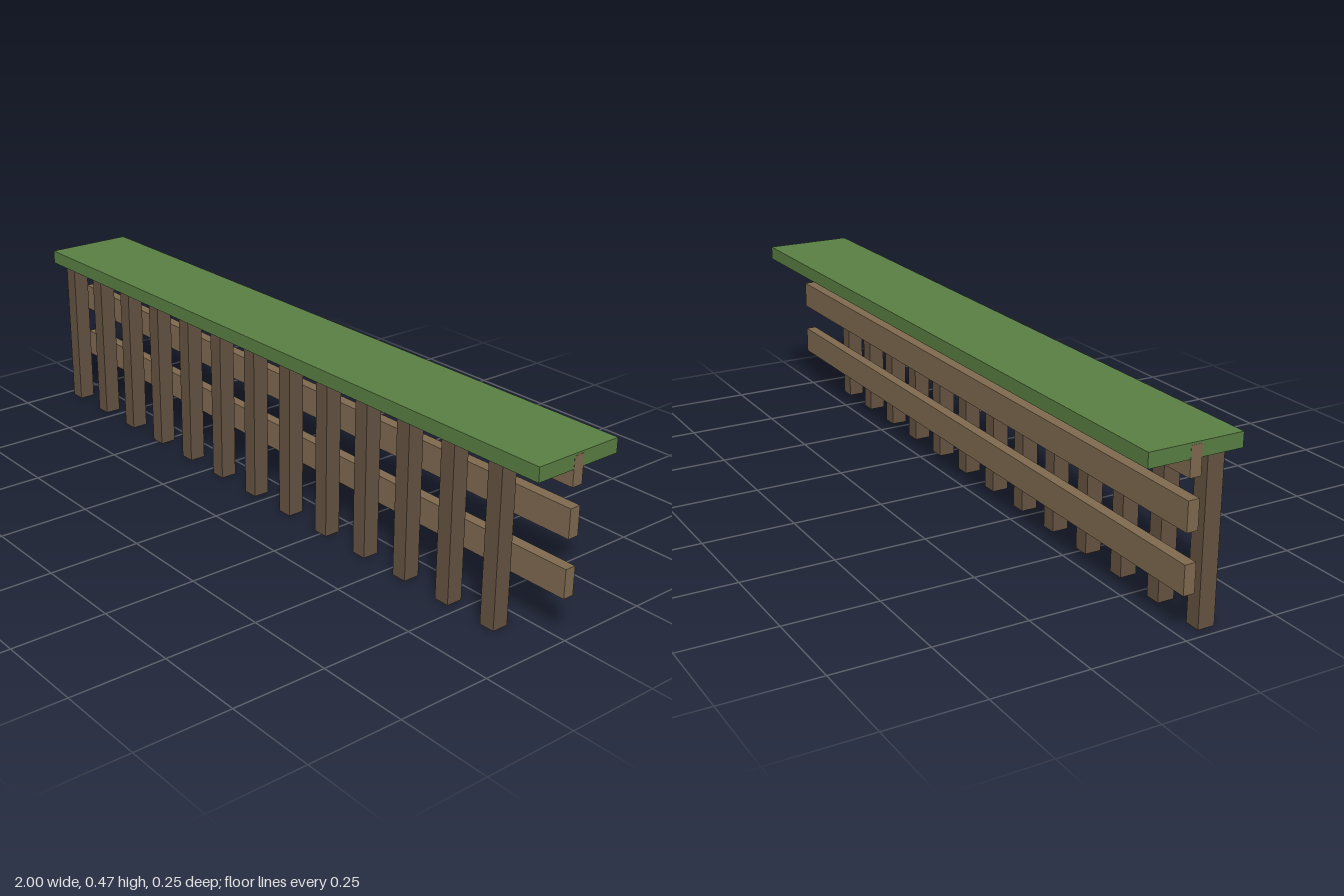
import * as THREE from 'three';

export function createModel() {
  const model = new THREE.Group();
  model.name = 'fence';

  const green = new THREE.MeshStandardMaterial({ color: 0x5a8044 });
  const postBrown = new THREE.MeshStandardMaterial({ color: 0x665442 });
  const railBrown = new THREE.MeshStandardMaterial({ color: 0x806a50 });

  // Adds a box of size w, h, d whose centre is at x, y, z
  function addBox(name, material, [w, h, d], [x, y, z]) {
    const mesh = new THREE.Mesh(new THREE.BoxGeometry(w, h, d), material);
    mesh.name = name;
    mesh.position.set(x, y, z);
    model.add(mesh);
  }

  // Flat top board, a hair shorter than the rails so their end faces do not flicker
  addBox('topBoard', green, [1.999, 0.0375, 0.25], [0, 0.4505, 0]);

  // Three horizontal rails; the highest is let into the top board
  for (const y of [0.15, 0.3, 0.426]) {
    addBox('rail', railBrown, [2, 0.075, 0.03], [0, y, 0]);
  }

  // Row of square posts in front of the rails
  const postHeight = 0.432;
  for (let i = 0; i < 13; i++) {
    addBox('post', postBrown, [0.043, postHeight, 0.045], [-0.951 + i * 0.15, postHeight / 2, 0.0755]);
  }

  return model;
}
